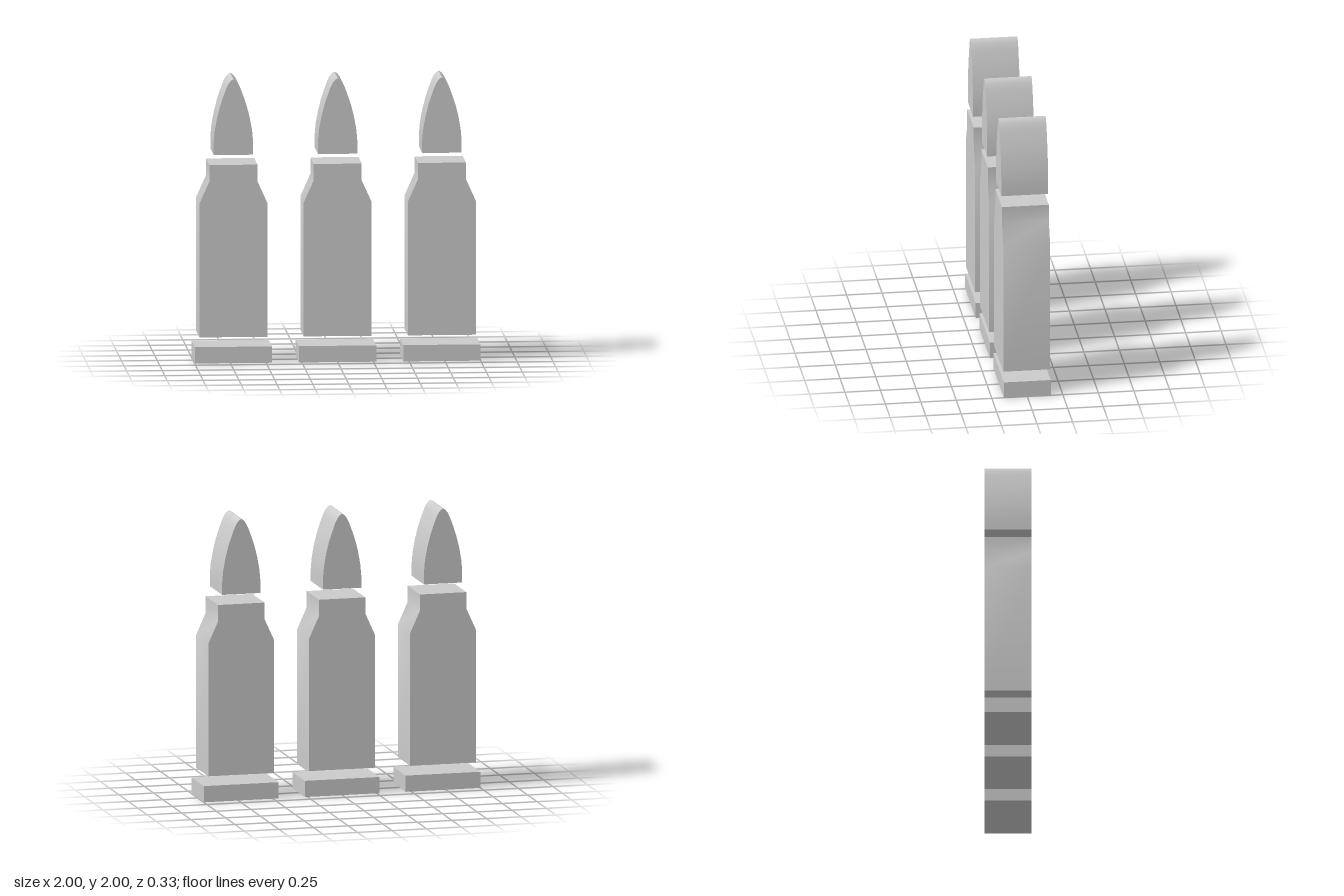
import * as THREE from 'three';
import { toCreasedNormals } from 'three/addons/utils/BufferGeometryUtils.js';

const DEPTH = 0.33;
const SPACING = 0.729;

// Symmetric slab from the right half of its outline, listed bottom to top
function slab(half) {
  const left = half.filter(([x]) => x > 0).map(([x, y]) => [-x, y]).reverse();
  const shape = new THREE.Shape([...half, ...left].map(([x, y]) => new THREE.Vector2(x, y)));
  const geometry = new THREE.ExtrudeGeometry(shape, { depth: DEPTH, bevelEnabled: false });
  geometry.translate(0, 0, -DEPTH / 2);
  return toCreasedNormals(geometry, 0.5);
}

export function createModel() {
  const group = new THREE.Group();
  const material = new THREE.MeshStandardMaterial({ color: 0xcccccc });

  const parts = {
    // Wide foot plate
    rim: slab([[0.27, 0], [0.27, 0.115]]),
    // Straight body, sloping shoulder and narrow neck
    casing: slab([[0.238, 0.183], [0.238, 1.125], [0.168, 1.28], [0.168, 1.397]]),
    // Pointed arch with a slightly rounded top
    tip: slab([
      [0.138, 1.467], [0.138, 1.555], [0.131, 1.635], [0.115, 1.725], [0.095, 1.805],
      [0.072, 1.875], [0.05, 1.935], [0.034, 1.968], [0.017, 1.99], [0, 2],
    ]),
  };

  // Three identical cartridges in a row
  ['right', 'middle', 'left'].forEach((side, i) => {
    const cartridge = new THREE.Group();
    cartridge.name = `${side}Cartridge`;
    cartridge.position.x = (i - 1) * SPACING;
    for (const [name, geometry] of Object.entries(parts)) {
      const mesh = new THREE.Mesh(geometry, material);
      mesh.name = name;
      cartridge.add(mesh);
    }
    group.add(cartridge);
  });
  return group;
}
